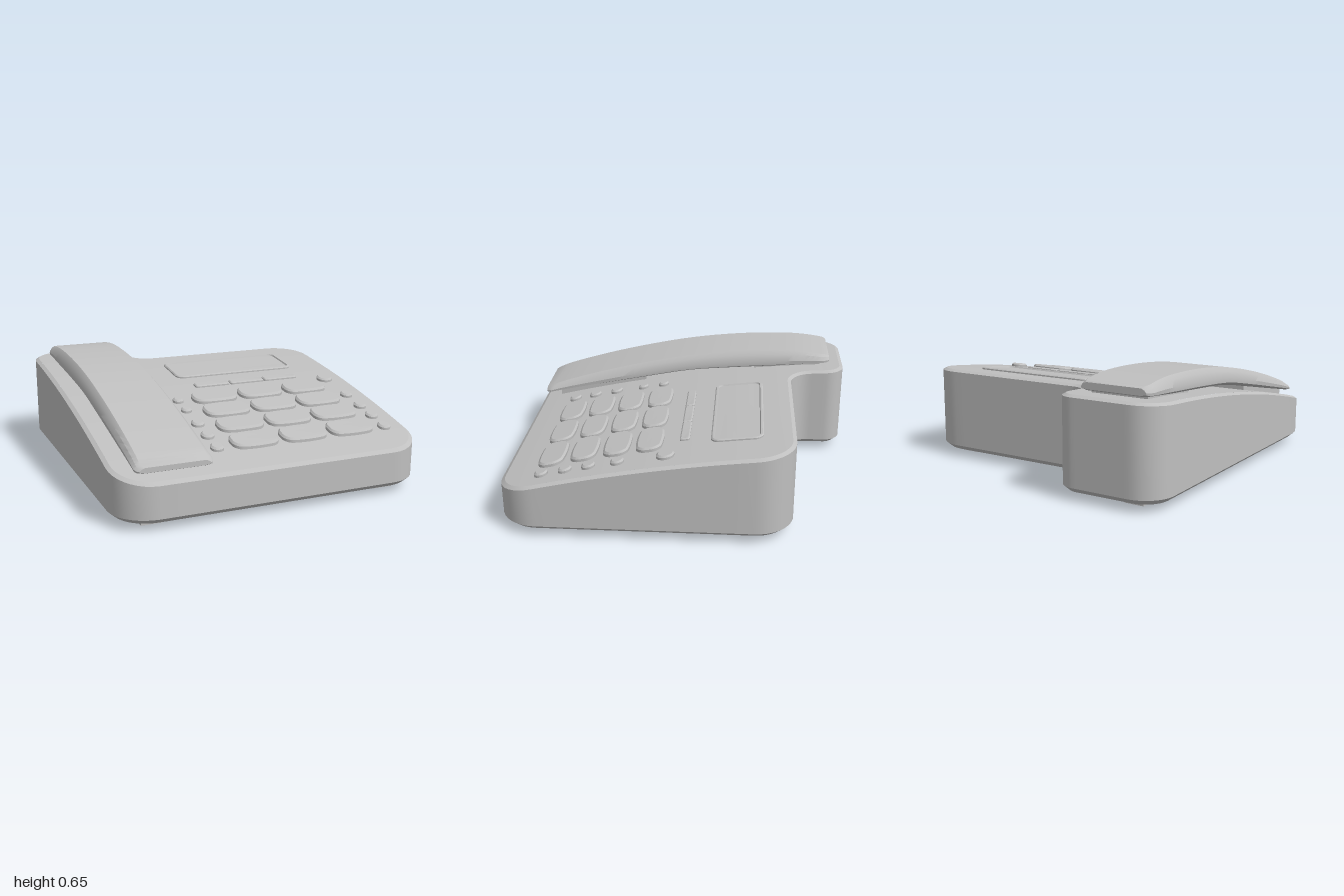
import * as THREE from 'three';
import { toCreasedNormals } from 'three/addons/utils/BufferGeometryUtils.js';

const grey = new THREE.MeshStandardMaterial({ color: 0xbfbfbf });
grey.name = 'plain grey';

// Height of the body's upper edge and of its sloping face
const edgeY = (z) => 0.455 - 0.15 * z - 0.055 * z * z;
const faceY = (z) => edgeY(z) + 0.013;

function makeMesh(name, tris) {
  const geo = new THREE.BufferGeometry().setFromPoints(tris);
  const mesh = new THREE.Mesh(toCreasedNormals(geo, 0.45), grey);
  mesh.name = name;
  return mesh;
}

// Joins successive closed rings, each clockwise as seen from the far end
function skin(rings) {
  const out = [];
  for (let i = 0; i + 1 < rings.length; i++) {
    const lo = rings[i], hi = rings[i + 1], n = lo.length;
    for (let j = 0; j < n; j++) {
      const k = (j + 1) % n;
      out.push(lo[j], hi[k], lo[k], lo[j], hi[j], hi[k]);
    }
  }
  return out;
}

// Rounded outline in plan; corners are [x, z, radius, insetX, insetZ, concave]
function outline(corners, d) {
  const pts = [], n = corners.length;
  const cs = corners.map(([x, z, r, sx, sz, concave]) =>
    ({ p: new THREE.Vector2(x + sx * d, z + sz * d), r: concave ? r + d : r - d }));
  const arcs = cs.map(({ p, r }, i) => {
    const u = cs[(i + n - 1) % n].p.clone().sub(p).normalize();
    const v = cs[(i + 1) % n].p.clone().sub(p).normalize();
    const centre = p.clone().addScaledVector(u, r).addScaledVector(v, r);
    return Array.from({ length: 10 }, (_, k) => {
      const a = (k / 9) * Math.PI / 2;
      return centre.clone().addScaledVector(v, -r * Math.cos(a)).addScaledVector(u, -r * Math.sin(a));
    });
  });
  arcs.forEach((arc, i) => {
    pts.push(...arc);
    const a = arc[9], b = arcs[(i + 1) % n][0];
    for (let k = 1; k < 12; k++) pts.push(a.clone().lerp(b, k / 12));
  });
  return pts;
}

// Keeps the part of a polygon on one side of a line of constant z
function clip(poly, z, sign) {
  const out = [];
  poly.forEach((a, i) => {
    const b = poly[(i + 1) % poly.length];
    const da = (a.y - z) * sign, db = (b.y - z) * sign;
    if (da >= 0) out.push(a);
    if (da * db < 0) out.push(a.clone().lerp(b, da / (da - db)));
  });
  return out;
}

// Fills an outline in slabs so that it can follow a curved height
function cap(poly, yAt, up, slabs) {
  const zs = poly.map((p) => p.y);
  const z0 = Math.min(...zs), dz = (Math.max(...zs) - z0) / slabs;
  const out = [];
  for (let s = 0; s < slabs; s++) {
    const part = slabs === 1 ? poly : clip(clip(poly, z0 + s * dz, 1), z0 + (s + 1) * dz, -1);
    if (part.length < 3) continue;
    for (const face of THREE.ShapeUtils.triangulateShape(part, [])) {
      const [a, b, c] = face.map((i) => new THREE.Vector3(part[i].x, yAt(part[i].y), part[i].y));
      const ny = (b.z - a.z) * (c.x - a.x) - (b.x - a.x) * (c.z - a.z);
      out.push(...((ny > 0) === up ? [a, b, c] : [a, c, b]));
    }
  }
  return out;
}

// Solid from outlines at [inset, height rule] levels, bottom to top
function solid(name, corners, levels, { slabs = 1, bend = (p) => p, bottom = false } = {}) {
  const polys = levels.map(([d]) => outline(corners, d).map(bend));
  const rings = polys.map((poly, i) =>
    poly.map((p) => new THREE.Vector3(p.x, levels[i][1](p.y), p.y)));
  const last = levels.length - 1;
  const tris = [...skin(rings), ...cap(polys[last], levels[last][1], true, slabs)];
  if (bottom) tris.push(...cap(polys[0], levels[0][1], false, 1));
  return makeMesh(name, tris);
}

const rect = (x, z, hw, hd, r) => [
  [x - hw, z - hd, r, 1, 1], [x + hw, z - hd, r, -1, 1],
  [x + hw, z + hd, r, -1, -1], [x - hw, z + hd, r, 1, -1],
];

// Raised button standing on the sloping face
function button(name, x, z, hw, hd, r, height, bulge = 0) {
  const bevel = Math.min(0.01, r * 0.6);
  const bend = (p) => {
    const u = (p.x - x) / hw;
    p.y += bulge * ((p.y - z) / hd) * (1 - u * u);
    return p;
  };
  return solid(name, rect(x, z, hw, hd, r), [
    [0, (q) => faceY(q) - 0.01],
    [0, (q) => faceY(q) + height * 0.6],
    [bevel, (q) => faceY(q) + height],
  ], { bend });
}

// Solid from convex sections running towards +z
function sections(name, rings) {
  const tris = skin(rings);
  const a = rings[0], b = rings[rings.length - 1];
  for (let k = 1; k + 1 < a.length; k++) {
    tris.push(a[0], a[k], a[k + 1], b[0], b[k + 1], b[k]);
  }
  return makeMesh(name, tris);
}

export function createModel() {
  const model = new THREE.Group();
  model.name = 'deskTelephone';

  // Body with rear extension behind the handset
  const footprint = [
    [-0.92, -1, 0.17, 1, 1], [-0.3, -1, 0.11, -1, 1], [-0.3, -0.655, 0.13, -1, 1, true],
    [0.92, -0.655, 0.22, -1, 1], [0.92, 1, 0.22, -1, -1], [-0.92, 1, 0.22, 1, -1],
  ];
  model.add(solid('body', footprint, [
    [0.035, () => 0.04], [0, () => 0.07], [0, edgeY], [0.022, faceY],
  ], { slabs: 24, bottom: true }));

  // Feet
  for (const [x, z] of [[-0.71, 0.84], [0.71, 0.84], [0.71, -0.47], [-0.71, -0.83]]) {
    const foot = new THREE.Mesh(new THREE.BoxGeometry(0.115, 0.05, 0.08), grey);
    foot.name = 'foot';
    foot.position.set(x, 0.025, z);
    model.add(foot);
  }

  // Display: raised rim around a sunken panel
  const over = (h) => (z) => faceY(z) + h;
  model.add(solid('display', rect(0.255, -0.328, 0.41, 0.147, 0.05), [
    [0, over(-0.01)], [0, over(0.008)], [0.007, over(0.014)],
    [0.016, over(0.014)], [0.021, over(0.005)],
  ], { slabs: 4 }));

  // Menu bars, number keys and round buttons
  const buttons = new THREE.Group();
  buttons.name = 'buttons';
  for (const x of [0.017, 0.255, 0.492]) {
    buttons.add(button('menuBar', x, -0.033, 0.115, 0.028, 0.012, 0.014));
  }
  for (const x of [-0.052, 0.256, 0.563]) {
    for (const z of [0.165, 0.352, 0.539, 0.726]) {
      buttons.add(button('numberKey', x, z, 0.142, 0.064, 0.05, 0.026, 0.014));
    }
  }
  const round = [
    [-0.285, 0.165, 0.032], [-0.285, 0.3, 0.032], [-0.285, 0.477, 0.038],
    [-0.285, 0.62, 0.038], [-0.285, 0.755, 0.038], [0.775, 0.062, 0.05],
    [0.782, 0.327, 0.038], [0.782, 0.488, 0.038], [0.782, 0.62, 0.038], [0.782, 0.755, 0.038],
  ];
  for (const [x, z, r] of round) {
    buttons.add(button('roundButton', x, z, r, r, r * 0.97, 0.022));
  }
  model.add(buttons);

  // Handset: arched bar with a wider lower lip; stations are [z, bottom, top]
  const cx = -0.605;
  const stations = [
    [-0.89, 0.573, 0.627], [-0.75, 0.56, 0.645], [-0.6, 0.547, 0.65], [-0.3, 0.525, 0.637],
    [0, 0.498, 0.602], [0.3, 0.443, 0.545], [0.6, 0.385, 0.472], [0.88, 0.332, 0.388],
    [0.965, 0.315, 0.352],
  ];
  const curve = new THREE.CatmullRomCurve3(stations.map(([z, b, t]) => new THREE.Vector3(b, t, z)));
  const arch = curve.getPoints(32);
  const half = [[0.18, 0], [0.215, 0.16], [0.217, 0.4], [0.203, 0.78], [0.183, 1]];
  const profile = [...half.map(([x, f]) => [-x, f]), ...half.slice().reverse()];
  const ring = ({ x: b, y: t, z }, w, shrink, dz) => profile.map(([x, f]) =>
    new THREE.Vector3(cx + x * w, b + (t - b) * (shrink + f * (1 - 2 * shrink)), z + dz));
  const rings = arch.map((p, i) => ring(p, i === 0 || i === 32 ? 0.95 : 1, 0, 0));
  rings.unshift(ring(arch[0], 0.9, 0.15, -0.018));
  rings.push(ring(arch[32], 0.9, 0.12, 0.01));
  model.add(sections('handset', rings));

  // Cradle rests under both ends of the handset
  const underside = (z) => {
    const i = Math.max(1, stations.findIndex((s) => s[0] >= z));
    const [a, b] = [stations[i - 1], stations[i]];
    return THREE.MathUtils.mapLinear(z, a[0], b[0], a[1], b[1]);
  };
  for (const [z0, z1] of [[-0.85, -0.42], [0.3, 0.88]]) {
    const rests = Array.from({ length: 9 }, (_, k) => {
      const z = THREE.MathUtils.lerp(z0, z1, k / 8);
      const lo = faceY(z) - 0.02, hi = underside(z) + 0.015;
      return [[-0.17, lo], [-0.17, hi], [0.17, hi], [0.17, lo]]
        .map(([x, y]) => new THREE.Vector3(cx + x, y, z));
    });
    model.add(sections('cradleRest', rests));
  }
  return model;
}
